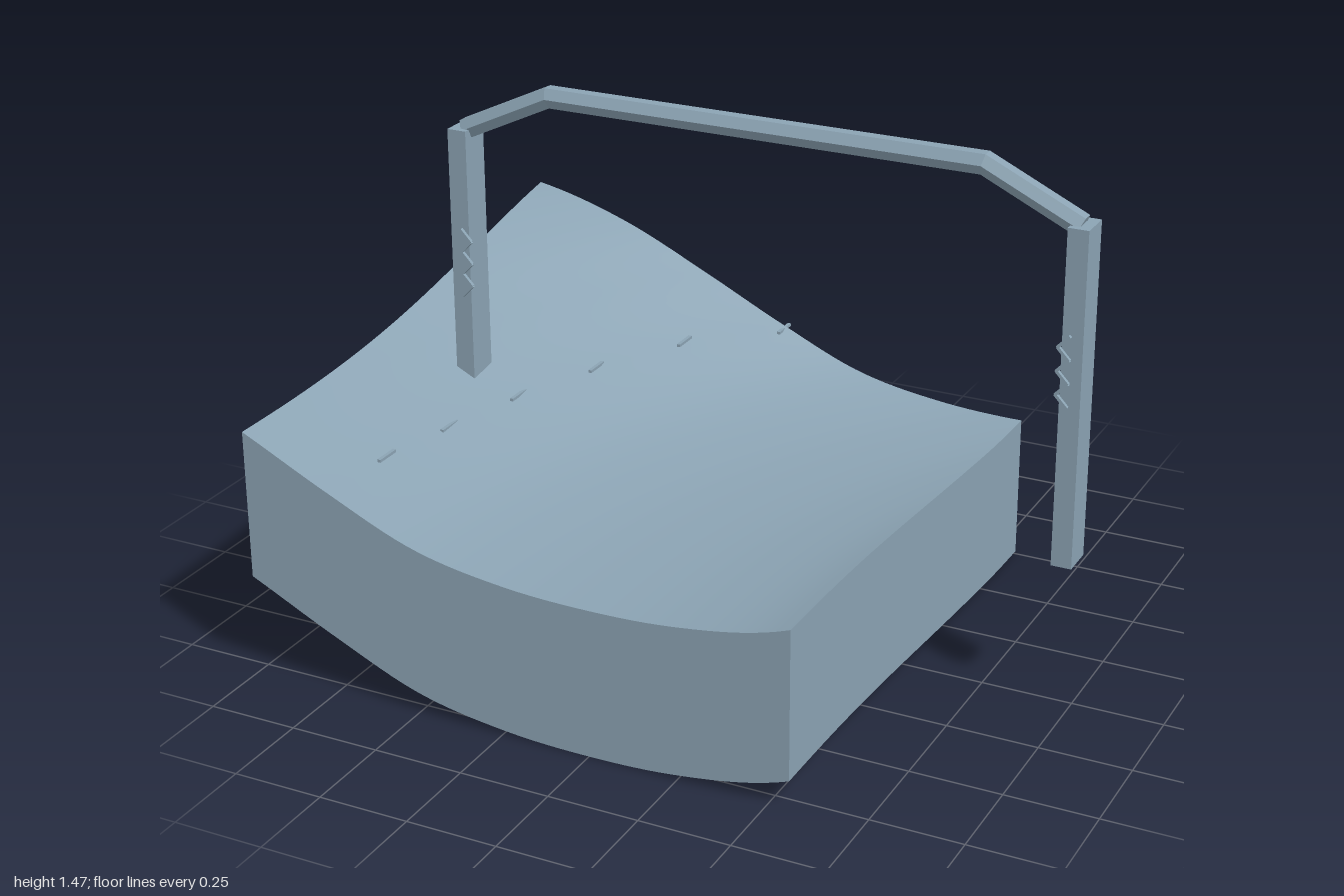
import * as THREE from 'three';

const X0 = -1, X1 = 0.555, Z0 = -0.765, Z1 = 0.79, DEPTH = 0.415;

// Valley cross-section: height above the valley floor at even steps of 0.25
const section = new THREE.SplineCurve(
  [0.012, 0, 0.012, 0.058, 0.163, 0.283, 0.395, 0.469, 0.5]
    .map((h, i) => new THREE.Vector2((i - 1) * 0.25, h)));

// The valley floor bends sideways towards the back
const valleyX = (z) => 0.55 * Math.pow(Math.max(0, (Z1 - z) / (Z1 - Z0)), 2.4);
const ground = (x, z) =>
  DEPTH + section.getPoint((Math.abs(x - valleyX(z)) + 0.25) / 2).y;

// Moves every vertex of a subdivided unit plane by a rule (u, v in 0..1)
function sheet(nu, nv, rule) {
  const g = new THREE.PlaneGeometry(1, 1, nu, nv);
  const p = g.attributes.position;
  for (let i = 0; i < p.count; i++) {
    p.setXYZ(i, ...rule(p.getX(i) + 0.5, p.getY(i) + 0.5));
  }
  g.computeVertexNormals();
  return g;
}

export function createModel() {
  const model = new THREE.Group();
  const solid = new THREE.MeshStandardMaterial({ color: 0x8ba3b3 });
  solid.name = 'greyBlue';
  solid.side = THREE.DoubleSide;

  const add = (name, geometry, parent = model) => {
    const mesh = new THREE.Mesh(geometry, solid);
    mesh.name = name;
    parent.add(mesh);
    return mesh;
  };
  const lerp = THREE.MathUtils.lerp;

  // Curved ground, open underneath
  add('groundSurface', sheet(48, 48, (u, v) => {
    const x = lerp(X0, X1, u), z = lerp(Z1, Z0, v);
    return [x, ground(x, z), z];
  }));

  // Four side walls following the ground edge, listed anticlockwise from above
  const corners = [[X0, Z1], [X1, Z1], [X1, Z0], [X0, Z0]];
  corners.forEach(([ax, az], i) => {
    const [bx, bz] = corners[(i + 1) % 4];
    add(['frontWall', 'leftWall', 'backWall', 'rightWall'][i], sheet(48, 1, (u, v) => {
      const x = lerp(ax, bx, u), z = lerp(az, bz, u);
      return [x, ground(x, z) - (1 - v) * DEPTH, z];
    }));
  });

  // Dashes set into the ground along the slope
  const dashes = new THREE.Group();
  dashes.name = 'trackDashes';
  model.add(dashes);
  const dashHeights = [0.583, 0.57, 0.572, 0.577, 0.586, 0.565];
  dashHeights.forEach((y, i) => {
    const z = 0.54 - i * 0.26;
    add('dash', new THREE.BoxGeometry(0.01, 0.008, 0.075), dashes)
      .position.set(valleyX(z) - 0.735, y, z);
  });

  // Arch: built about its own middle, mirrored left and right
  const arch = new THREE.Group();
  arch.name = 'arch';
  arch.position.set(0.1, 0, 0.018);
  model.add(arch);

  for (const side of [-1, 1]) {
    add(side < 0 ? 'rightPost' : 'leftPost', new THREE.BoxGeometry(0.055, 0.91, 0.092), arch)
      .position.set(side * 0.8725, 0.875, 0);

    // Zigzag strip on the front of each post
    const zigzag = new THREE.Group();
    zigzag.name = side < 0 ? 'rightZigzag' : 'leftZigzag';
    arch.add(zigzag);
    for (let i = 0; i < 6; i++) {
      const stroke = add('stroke', new THREE.BoxGeometry(0.008, 0.046, 0.01), zigzag);
      stroke.position.set(side * 0.852, 1.036 - i * 0.0317, 0.051);
      stroke.rotation.z = side * (i % 2 ? 1 : -1) * 0.76;
    }
  }

  // Six-sided beam with mitred bends
  const path = [[-0.868, 1.324], [-0.61, 1.446], [0.61, 1.446], [0.868, 1.324]]
    .map(([x, y]) => new THREE.Vector2(x, y));
  const rings = path.map((p, i) => {
    const before = path[Math.max(i - 1, 0)], after = path[Math.min(i + 1, 3)];
    const d1 = p.clone().sub(before).normalize(), d2 = after.clone().sub(p).normalize();
    const dir = d1.clone().add(d2).normalize();
    const stretch = 1 / dir.dot(i < 3 ? d2 : d1);
    return Array.from({ length: 6 }, (_, k) => {
      const a = k * Math.PI / 3, up = 0.031 * Math.sin(a) * stretch;
      return [p.x - dir.y * up, p.y + dir.x * up, 0.031 * Math.cos(a)];
    });
  });
  const tri = [];
  for (let k = 0; k < 6; k++) {
    const n = (k + 1) % 6;
    for (let i = 0; i < 3; i++) {
      const a = rings[i][k], b = rings[i + 1][k], c = rings[i + 1][n], d = rings[i][n];
      tri.push(...a, ...b, ...c, ...a, ...c, ...d);
    }
    if (k > 0 && k < 5) {
      tri.push(...rings[0][0], ...rings[0][k], ...rings[0][n]);
      tri.push(...rings[3][0], ...rings[3][n], ...rings[3][k]);
    }
  }
  const beam = new THREE.BufferGeometry();
  beam.setAttribute('position', new THREE.Float32BufferAttribute(tri, 3));
  beam.computeVertexNormals();
  add('beam', beam, arch);

  return model;
}
